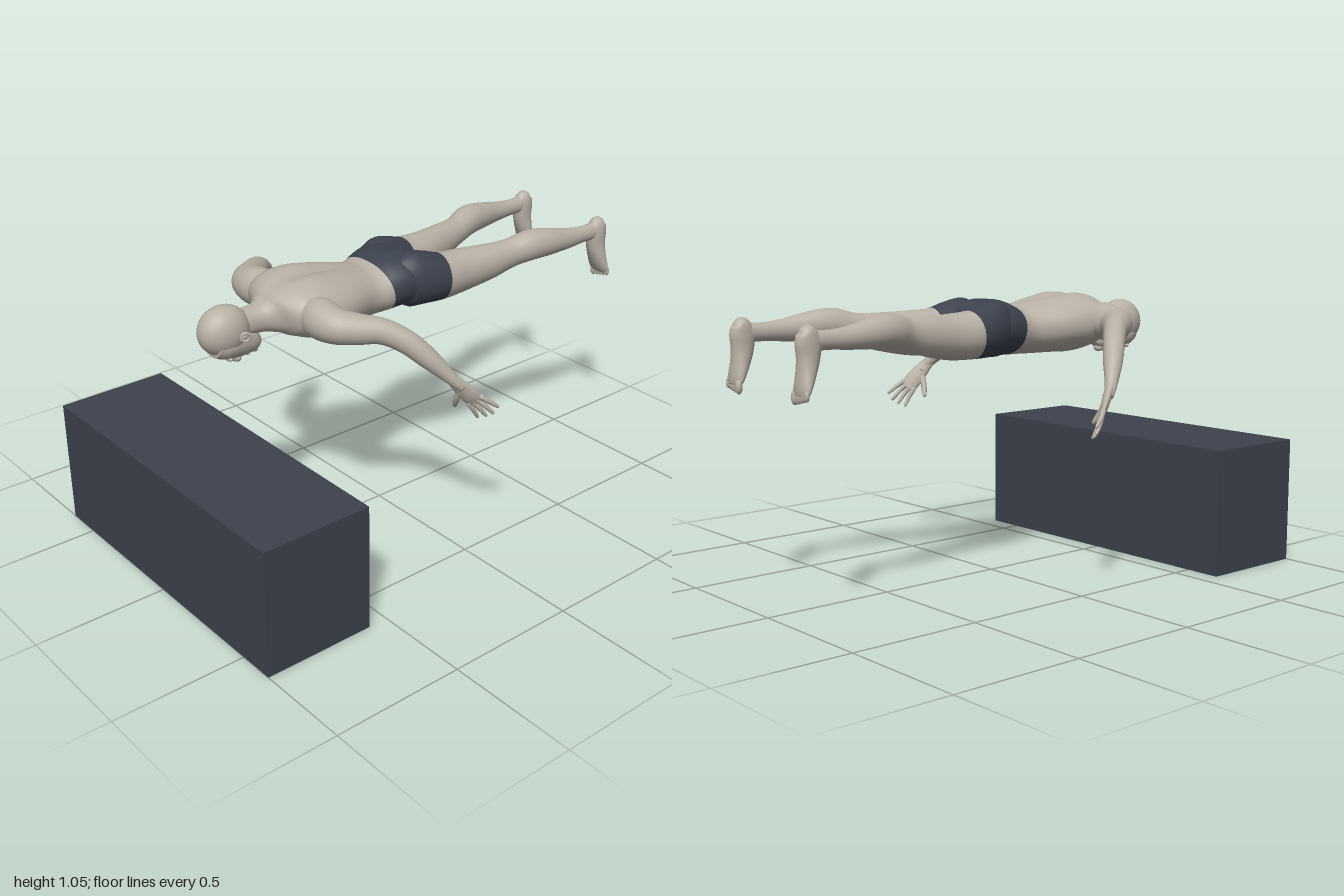
import * as THREE from 'three';

const skin = new THREE.MeshStandardMaterial({ color: 0xb8b0a5 });
skin.name = 'skin';
const slate = new THREE.MeshStandardMaterial({ color: 0x3c424e });
slate.name = 'slate';

const mix = (a, b, c, d, t) =>
  0.5 * (2 * b + (c - a) * t + (2 * a - 5 * b + 4 * c - d) * t * t + (3 * b - a - 3 * c + d) * t * t * t);

// Smooth loft through elliptical keys [x, y, z, sideRadius, depthRadius].
// cloth = [firstKey, lastKey] is the range that gets the shorts colour.
function loft(name, keys, { ref = [0, 1, 0], cloth = null, warp = null, sides = 24, sub = 5, power = 2 } = {}) {
  const rings = [];
  const last = keys.length - 1;
  for (let i = 0; i <= last * sub; i++) {
    const k = Math.min(Math.floor(i / sub), last - 1);
    const t = i / sub - k;
    const at = (n) => keys[Math.min(Math.max(n, 0), last)];
    const r = at(k).map((v, d) => mix(at(k - 1)[d], v, at(k + 1)[d], at(k + 2)[d], t));
    rings.push({ c: new THREE.Vector3(r[0], r[1], r[2]), a: Math.max(r[3], 0.002), b: Math.max(r[4], 0.002) });
  }
  const pos = [];
  const index = [];
  const up = new THREE.Vector3(...ref);
  const end = rings.length - 1;
  const bend = (v) => Math.sign(v) * Math.pow(Math.abs(v), 2 / power);
  rings.forEach(({ c, a, b }, i) => {
    const t = rings[Math.min(i + 1, end)].c.clone().sub(rings[Math.max(i - 1, 0)].c).normalize();
    const n = up.clone().addScaledVector(t, -up.dot(t)).normalize();
    const s = t.clone().cross(n);
    for (let j = 0; j < sides; j++) {
      const q = (j / sides) * Math.PI * 2;
      const v = c.clone().addScaledVector(s, a * bend(Math.cos(q))).addScaledVector(n, b * bend(Math.sin(q)));
      if (warp) warp(v);
      pos.push(v.x, v.y, v.z);
    }
  });
  for (let i = 0; i < end; i++) {
    for (let j = 0; j < sides; j++) {
      const p = i * sides + j;
      const q = i * sides + ((j + 1) % sides);
      index.push(p, p + sides, q, q, p + sides, q + sides);
    }
  }
  // end caps
  const c0 = pos.length / 3;
  for (const r of [rings[0], rings[end]]) pos.push(r.c.x, r.c.y, r.c.z);
  for (let j = 0; j < sides; j++) {
    const k = (j + 1) % sides;
    index.push(c0, j, k, c0 + 1, end * sides + k, end * sides + j);
  }
  const geo = new THREE.BufferGeometry();
  geo.setAttribute('position', new THREE.Float32BufferAttribute(pos, 3));
  geo.setIndex(index);
  geo.computeVertexNormals();
  let material = skin;
  if (cloth) {
    const [from, to] = cloth.map((k) => k * sub * sides * 6);
    geo.addGroup(0, from, 0);
    geo.addGroup(from, to - from, 1);
    geo.addGroup(to, index.length - to, to >= end * sides * 6 ? 1 : 0);
    material = [skin, slate];
  }
  const mesh = new THREE.Mesh(geo, material);
  mesh.name = name;
  return mesh;
}

function ball(name, [x, y, z], [rx, ry, rz]) {
  const mesh = new THREE.Mesh(new THREE.SphereGeometry(1, 28, 20), skin);
  mesh.scale.set(rx, ry, rz);
  mesh.position.set(x, y, z);
  mesh.name = name;
  return mesh;
}

// Spine furrow, shoulder blades, breastbone and seat cleft
function sculptTorso(v) {
  const bump = (d, w) => Math.exp(-((d / w) ** 2));
  const mid = bump(v.x, 0.028);
  if (v.y > 0.95) {
    v.y -= 0.018 * mid * (bump(v.z - 0.33, 0.14) + bump(v.z + 0.09, 0.06));
    v.y += 0.008 * bump(Math.abs(v.x) - 0.085, 0.045) * bump(v.z - 0.38, 0.07);
  } else if (v.y < 0.9) {
    v.y += 0.01 * mid * bump(v.z - 0.34, 0.1);
  }
}

function head() {
  const g = new THREE.Group();
  g.name = 'head';
  g.add(ball('cranium', [0, 0.925, 0.688], [0.074, 0.09, 0.098]));
  g.add(loft('face', [
    [0, 0.832, 0.745, 0.03, 0.02], [0, 0.883, 0.738, 0.052, 0.044], [0, 0.88, 0.70, 0.065, 0.058],
    [0, 0.875, 0.65, 0.062, 0.06], [0, 0.865, 0.605, 0.053, 0.053], [0, 0.848, 0.57, 0.04, 0.037],
    [0, 0.835, 0.555, 0.02, 0.016],
  ].slice(1)));
  g.add(loft('nose', [
    [0, 0.826, 0.685, 0.006, 0.008], [0, 0.812, 0.655, 0.009, 0.012],
    [0, 0.804, 0.636, 0.014, 0.013], [0, 0.815, 0.625, 0.008, 0.006],
  ], { sides: 12 }));
  g.add(ball('lips', [0, 0.818, 0.602], [0.022, 0.01, 0.009]));
  g.add(ball('chin', [0, 0.824, 0.569], [0.022, 0.014, 0.014]));
  for (const s of [1, -1]) {
    g.add(ball('brow', [s * 0.027, 0.83, 0.692], [0.024, 0.01, 0.009]));
    const ear = new THREE.Mesh(new THREE.TorusGeometry(0.017, 0.006, 8, 18), skin);
    ear.name = 'ear';
    ear.position.set(s * 0.075, 0.913, 0.65);
    ear.rotation.y = s * 1.2;
    ear.scale.y = 0.85;
    g.add(ear, ball('innerEar', [s * 0.071, 0.913, 0.65], [0.007, 0.014, 0.016]));
  }
  return g;
}

function arm(s) {
  const g = new THREE.Group();
  g.name = s > 0 ? 'leftArm' : 'rightArm';
  const side = (keys) => keys.map(([x, ...rest]) => [s * x, ...rest]);
  g.add(loft('armLength', side([
    [0.10, 0.95, 0.405, 0.05, 0.06], [0.18, 0.95, 0.41, 0.07, 0.073], [0.255, 0.945, 0.40, 0.066, 0.063],
    [0.31, 0.94, 0.355, 0.054, 0.055], [0.365, 0.932, 0.29, 0.044, 0.046], [0.42, 0.895, 0.23, 0.04, 0.042],
    [0.47, 0.835, 0.175, 0.036, 0.037], [0.525, 0.755, 0.11, 0.022, 0.022], [0.54, 0.72, 0.08, 0.02, 0.016],
  ])));
  const ref = [-0.013 * s, 0.006, -0.0123];
  g.add(loft('palm', side([
    [0.52, 0.765, 0.118, 0.02, 0.018], [0.537, 0.72, 0.08, 0.03, 0.016],
    [0.552, 0.68, 0.048, 0.034, 0.013], [0.56, 0.65, 0.025, 0.028, 0.007],
  ]), { ref }));
  const tips = [[0.603, 0.632, -0.036], [0.592, 0.606, -0.025], [0.57, 0.592, -0.012], [0.545, 0.582, 0.004]];
  tips.forEach(([x, y, z], i) => {
    const k = (1.5 - i) * 0.017;
    const b = [0.556 + 0.69 * k, 0.666 + 0.58 * k, 0.036 - 0.44 * k];
    const m = [(b[0] + x) / 2 + 0.004, (b[1] + y) / 2, (b[2] + z) / 2];
    g.add(loft('finger', side([
      [...b, 0.01, 0.01], [...m, 0.0085, 0.0085], [x, y, z, 0.006, 0.006], [x, y - 0.003, z - 0.002, 0.002, 0.002],
    ]), { ref, sides: 10, sub: 3 }));
  });
  g.add(loft('thumb', side([
    [0.536, 0.715, 0.08, 0.013, 0.013], [0.512, 0.665, 0.075, 0.012, 0.012],
    [0.49, 0.625, 0.062, 0.008, 0.008], [0.486, 0.619, 0.06, 0.002, 0.002],
  ]), { ref, sides: 10, sub: 3 }));
  return g;
}

function leg(s) {
  const g = new THREE.Group();
  g.name = s > 0 ? 'leftLeg' : 'rightLeg';
  const side = (keys) => keys.map(([x, ...rest]) => [s * x, ...rest]);
  // thigh, knee and calf; the first keys lie inside the shorts
  g.add(loft('legLength', side([
    [0.082, 0.945, 0.0, 0.055, 0.075], [0.09, 0.943, -0.06, 0.077, 0.104], [0.098, 0.936, -0.12, 0.087, 0.1],
    [0.107, 0.925, -0.195, 0.088, 0.089], [0.115, 0.925, -0.3, 0.074, 0.083], [0.138, 0.935, -0.42, 0.059, 0.07],
    [0.155, 0.95, -0.52, 0.05, 0.057], [0.176, 0.967, -0.6, 0.055, 0.06], [0.19, 0.965, -0.68, 0.05, 0.054],
    [0.2, 0.957, -0.78, 0.036, 0.041], [0.203, 0.955, -0.87, 0.028, 0.033], [0.205, 0.955, -0.95, 0.028, 0.036],
  ]), { cloth: [0, 3] }));
  // foot hanging down from the heel, sole facing back
  g.add(loft('foot', side([
    [0.205, 1.0, -0.968, 0.012, 0.014], [0.205, 0.985, -0.958, 0.028, 0.036], [0.205, 0.95, -0.949, 0.033, 0.047],
    [0.205, 0.9, -0.95, 0.034, 0.041], [0.206, 0.85, -0.96, 0.04, 0.032], [0.208, 0.8, -0.975, 0.046, 0.021],
    [0.208, 0.778, -0.982, 0.041, 0.012],
  ]), { ref: [0, 0, 1] }));
  for (let i = 0; i < 5; i++) {
    const r = i ? 0.009 : 0.013;
    const x = i ? 0.18 + i * 0.0165 : 0.176;
    const tip = 0.748 + i * 0.004;
    g.add(ball('toe', [s * x, (tip + 0.8) / 2, -0.984], [r, (0.8 - tip) / 2, r]));
  }
  return g;
}

export function createModel() {
  const model = new THREE.Group();
  model.name = 'diverOverBlock';

  // starting block
  const block = new THREE.Mesh(new THREE.BoxGeometry(1.28, 0.482, 0.425), slate);
  block.name = 'block';
  block.position.set(0, 0.241, 0.7875);
  model.add(block);

  // swimmer lying face down, head to the front
  const swimmer = new THREE.Group();
  swimmer.name = 'swimmer';
  swimmer.add(loft('torso', [
    [0, 0.93, 0.62, 0.045, 0.05], [0, 0.932, 0.55, 0.053, 0.052], [0, 0.936, 0.51, 0.085, 0.066],
    [0, 0.942, 0.475, 0.155, 0.085], [0, 0.946, 0.42, 0.2, 0.103], [0, 0.94, 0.34, 0.2, 0.114],
    [0, 0.935, 0.25, 0.183, 0.108], [0, 0.925, 0.15, 0.148, 0.097], [0, 0.922, 0.1, 0.141, 0.092],
    [0, 0.926, 0.048, 0.15, 0.096], [0, 0.94, -0.02, 0.163, 0.106], [0, 0.94, -0.08, 0.16, 0.1],
    [0, 0.93, -0.12, 0.13, 0.075], [0, 0.925, -0.14, 0.06, 0.03],
  ], { cloth: [9, 13], warp: sculptTorso, sides: 48, sub: 6, power: 2.15 }));
  swimmer.add(head());
  for (const s of [1, -1]) swimmer.add(arm(s), leg(s));
  model.add(swimmer);
  return model;
}
